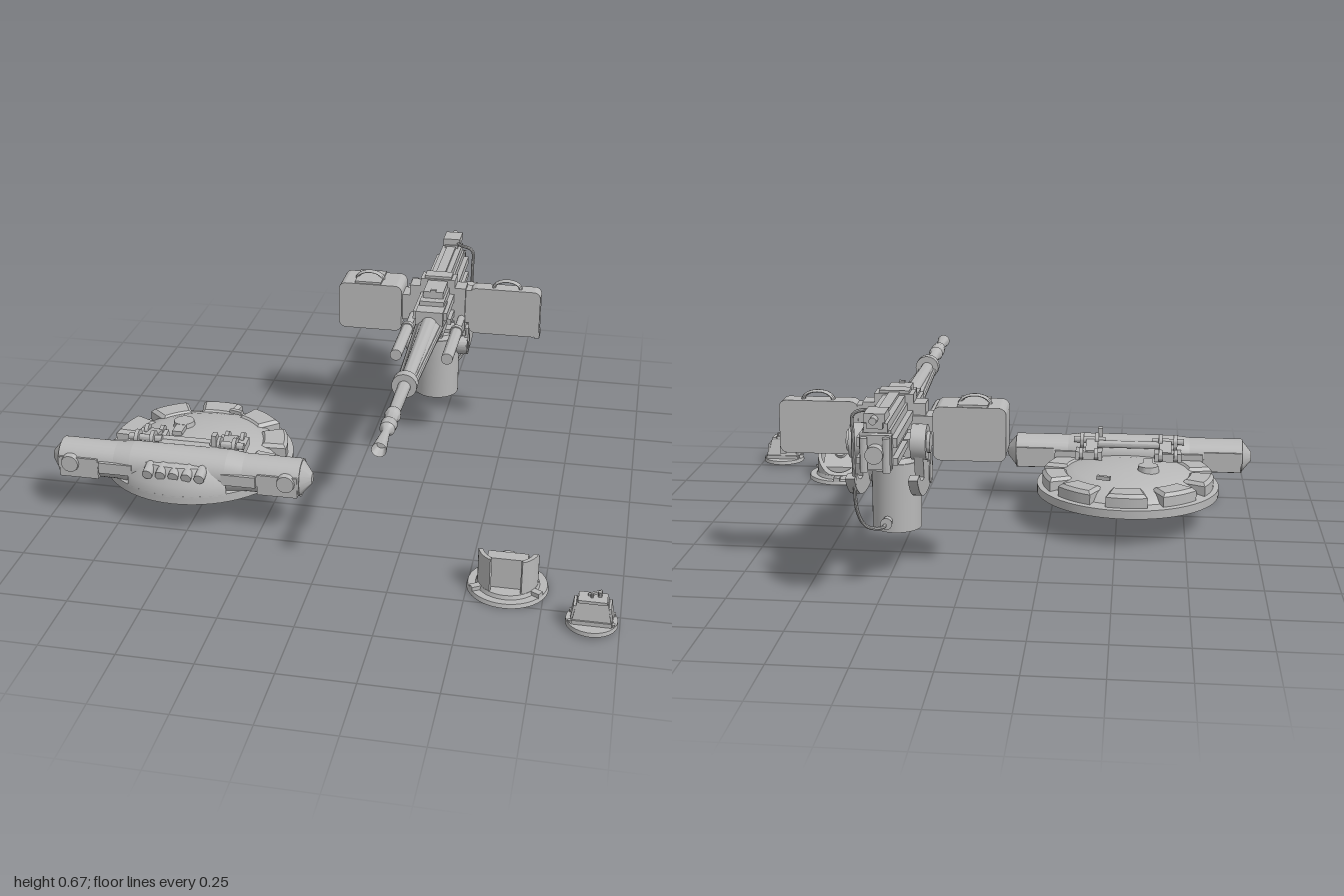
import * as THREE from 'three';
import { toCreasedNormals } from 'three/addons/utils/BufferGeometryUtils.js';

const grey = new THREE.MeshStandardMaterial({ color: 0xb8b8b8, side: THREE.DoubleSide });
grey.name = 'plain grey';

const V2 = (p) => p.map(([a, b]) => new THREE.Vector2(a, b));
const box = (w, h, d) => new THREE.BoxGeometry(w, h, d);
const cylY = (rt, rb, h, n = 32) => new THREE.CylinderGeometry(rt, rb, h, n);
const cylZ = (rf, rb, h, n = 24) => cylY(rf, rb, h, n).rotateX(Math.PI / 2);
const cylX = (r, h, n = 24) => cylY(r, r, h, n).rotateZ(-Math.PI / 2);
const lathe = (pts, n = 48, s = 0, l = Math.PI * 2) => new THREE.LatheGeometry(V2(pts), n, s, l);

function add(parent, name, geo, x = 0, y = 0, z = 0, rx = 0, ry = 0, rz = 0) {
  const m = new THREE.Mesh(toCreasedNormals(geo, 0.6), grey);
  m.name = name;
  m.position.set(x, y, z);
  m.rotation.set(rx, ry, rz);
  parent.add(m);
  return m;
}

function part(parent, name, x = 0, y = 0, z = 0) {
  const g = new THREE.Group();
  g.name = name;
  g.position.set(x, y, z);
  parent.add(g);
  return g;
}

// Side outline given as (z, y), with thickness along x
function sidePlate(shape, width) {
  return new THREE.ExtrudeGeometry(shape, { depth: width, bevelEnabled: false, curveSegments: 16 })
    .translate(0, 0, -width / 2).rotateY(-Math.PI / 2);
}

// Box with rounded corners when seen from the front
function roundedCase(w, h, d, r) {
  const s = new THREE.Shape(), a = w / 2, b = h / 2;
  s.absarc(a - r, b - r, r, 0, Math.PI / 2);
  s.absarc(-a + r, b - r, r, Math.PI / 2, Math.PI);
  s.absarc(-a + r, -b + r, r, Math.PI, Math.PI * 1.5);
  s.absarc(a - r, -b + r, r, Math.PI * 1.5, Math.PI * 2);
  return new THREE.ExtrudeGeometry(s, { depth: d, bevelEnabled: false, curveSegments: 6 }).translate(0, 0, -d / 2);
}

function buildHatch(root) {
  const g = part(root, 'hatch', -0.537, 0, 0.187);
  // Hollow domed lid with a thick rim
  add(g, 'hatchLid', lathe([[0, 0.205], [0.15, 0.2], [0.24, 0.175], [0.29, 0.13], [0.31, 0.115], [0.337, 0.115],
    [0.337, 0.146], [0.29, 0.152], [0.262, 0.178], [0.2, 0.2], [0.1, 0.216], [0, 0.22]], 64));
  // Notched blocks round the rim
  for (let i = -3; i <= 3; i++) {
    const a = Math.PI / 2 + i * 0.66, h = 0.2, s = new THREE.Shape();
    s.absarc(0, 0, 0.305, a - h, a + h, false);
    s.absarc(0, 0, 0.235, a + h, a - h, true);
    const geo = new THREE.ExtrudeGeometry(s, { depth: 0.045, bevelThickness: 0.012, bevelSize: 0.012, bevelSegments: 1, curveSegments: 6 });
    add(g, 'rimBlock', geo.rotateX(-Math.PI / 2), 0, 0.14, 0);
  }
  // Front bulge carrying the vents
  add(g, 'frontBulge', lathe([[0.337, 0.14], [0.335, 0.18], [0.3, 0.235], [0.23, 0.25]], 24, -0.55, 1.1));
  for (let i = -2; i <= 2; i++) {
    add(g, 'vent', cylZ(0.018, 0.018, 0.12, 16), i * 0.046, 0.226, 0.265, 0.25);
    add(g, 'innerVent', cylY(0.017, 0.017, 0.05, 16), i * 0.046, 0.15, 0.235, 0.4);
  }
  // Cross tube with pointed ends and a raised middle
  const t = part(g, 'crossTube', 0, 0.2, 0.215);
  add(t, 'tubeBody', cylX(0.066, 0.86, 32));
  add(t, 'tubeMiddle', cylX(0.073, 0.34, 32));
  for (const s of [-1, 1]) {
    add(t, 'tubeTaper', cylY(s > 0 ? 0.066 : 0.073, s > 0 ? 0.073 : 0.066, 0.06).rotateZ(-Math.PI / 2), s * 0.2, 0, 0);
    add(t, 'endCone', cylY(0.018, 0.063, 0.036, 12).rotateZ(-s * Math.PI / 2), s * 0.447, 0, 0);
    add(t, 'endBoss', cylZ(0.03, 0.034, 0.02), s * 0.385, 0.005, 0.066);
    add(t, 'endBlock', box(0.14, 0.075, 0.135), s * 0.355, -0.01, 0);
    add(t, 'sidePad', box(0.12, 0.04, 0.15), s * 0.22, 0, 0);
    // Hinge arm, knuckle and bolt
    const h = part(g, 'hinge', s * 0.148, 0, 0);
    add(h, 'hingeFoot', box(0.1, 0.03, 0.11), 0, 0.225, 0.1, 0.12);
    add(h, 'hingeArm', box(0.045, 0.035, 0.11), -s * 0.01, 0.245, 0.11, -0.2);
    for (const k of [-0.028, 0.028]) {
      add(h, 'hingeEar', cylX(0.03, 0.014), k, 0.262, 0.155);
      add(h, 'hingeLug', cylX(0.022, 0.014), k, 0.24, 0.05);
    }
    add(h, 'hingePin', cylX(0.012, 0.12, 12), 0, 0.265, 0.155);
  }
  add(g, 'hingeRod', cylX(0.014, 0.26, 16), 0, 0.255, 0.135);
  add(g, 'torsionBar', box(0.19, 0.025, 0.03), 0, 0.25, 0.165);
  add(g, 'lockPin', box(0.018, 0.06, 0.03), 0.108, 0.28, 0.17);
  add(g, 'lockPlate', box(0.03, 0.012, 0.07), 0.11, 0.262, 0.17);
  // Latch disc and small handle on the lid
  add(g, 'latchDisc', cylY(0.036, 0.04, 0.024), -0.075, 0.222, -0.06);
  add(g, 'latchTongue', box(0.036, 0.018, 0.08), -0.075, 0.224, -0.01);
  add(g, 'lidGrip', box(0.05, 0.014, 0.016), 0.085, 0.22, -0.19, 0, -0.3);
}

function buildGun(root) {
  const g = part(root, 'gun', 0.228, 0.54, 0);
  // Barrel with flared muzzle and joint rings
  add(g, 'barrel', lathe([[0, 0.75], [0.014, 0.75], [0.024, 0.79], [0.013, 0.67], [0.017, 0.655], [0.025, 0.645],
    [0.027, 0.61], [0.022, 0.6], [0.022, 0.56], [0.027, 0.55], [0.025, 0.53], [0.02, 0.52], [0.022, 0.3], [0.03, -0.3]], 24)
    .rotateX(Math.PI / 2));
  add(g, 'barrelRing', cylZ(0.043, 0.043, 0.035), 0, 0.002, 0.312);
  // Tapering jacket: flat on top, deepening to the rear
  const jacket = cylZ(0.024, 0.05, 0.58, 20).translate(0, 0, 0.01);
  add(g, 'barrelJacket', jacket, 0, -0.02, 0, -0.035);
  for (const s of [-1, 1]) {
    add(g, 'jacketRod', cylZ(0.01, 0.01, 0.58, 10), s * 0.035, -0.012, 0.01, 0, s * -0.035);
    add(g, 'recoilTube', cylZ(0.021, 0.021, 0.26), s * 0.092, -0.055, -0.17);
    add(g, 'recoilRod', cylZ(0.013, 0.013, 0.36, 16), s * 0.092, -0.055, -0.45);
    add(g, 'tubeCollar', cylZ(0.025, 0.025, 0.02), s * 0.092, -0.055, -0.29);
  }
  // Receiver, covers and rear plate
  add(g, 'receiver', box(0.09, 0.11, 0.56), 0, 0.01, -0.55);
  add(g, 'receiverFloor', box(0.075, 0.04, 0.34), 0, -0.05, -0.65);
  add(g, 'topCover', box(0.074, 0.03, 0.54), 0, 0.075, -0.575);
  add(g, 'coverRib', box(0.035, 0.014, 0.3), 0, 0.092, -0.62);
  add(g, 'frontBlock', box(0.1, 0.1, 0.12), 0, -0.002, -0.27);
  for (const s of [-1, 1]) {
    add(g, 'sideRail', box(0.02, 0.03, 0.6), s * 0.053, 0.025, -0.53);
    add(g, 'lowerRail', box(0.018, 0.022, 0.5), s * 0.056, -0.035, -0.58);
    add(g, 'rearGrip', cylY(0.012, 0.012, 0.11, 12), s * 0.035, -0.005, -0.865);
  }
  add(g, 'rearPlate', box(0.1, 0.11, 0.025), 0, 0, -0.842);
  add(g, 'rearBuffer', cylZ(0.028, 0.028, 0.05), 0, 0, -0.865);
  add(g, 'frontSight', box(0.02, 0.035, 0.015), 0, 0.08, -0.31);
  // Sight on the rear of the cover
  add(g, 'sightBase', box(0.05, 0.025, 0.09), 0, 0.09, -0.82);
  add(g, 'sightHead', box(0.065, 0.028, 0.085), 0, 0.112, -0.823);
  add(g, 'sightKnob', cylZ(0.012, 0.012, 0.04, 12), 0, 0.11, -0.878);
  // Feed collar around the receiver
  add(g, 'feedCollar', box(0.13, 0.16, 0.07), 0, 0.015, -0.455);
  add(g, 'collarTop', box(0.1, 0.025, 0.055), 0, 0.092, -0.455);
  for (const s of [-1, 1]) add(g, 'collarBracket', box(0.04, 0.17, 0.07), s * 0.085, -0.02, -0.455);
}

function buildMount(root) {
  const g = part(root, 'mount', 0.228, 0, 0);
  add(g, 'pedestal', cylY(0.083, 0.083, 0.235, 40), 0, 0.2875, -0.452);
  add(g, 'pedestalCap', cylY(0.072, 0.08, 0.02, 40), 0, 0.412, -0.452);
  add(g, 'crossPlate', box(0.22, 0.022, 0.07), 0, 0.425, -0.455);
  // Curved cradle plate: neck, rounded front and swept tail
  const s = new THREE.Shape();
  s.moveTo(-0.545, 0.48);
  s.lineTo(-0.535, 0.42);
  s.lineTo(-0.46, 0.405);
  s.quadraticCurveTo(-0.41, 0.4, -0.415, 0.365);
  s.quadraticCurveTo(-0.42, 0.33, -0.47, 0.325);
  s.quadraticCurveTo(-0.68, 0.305, -0.765, 0.425);
  s.lineTo(-0.71, 0.428);
  s.quadraticCurveTo(-0.68, 0.385, -0.61, 0.39);
  s.lineTo(-0.64, 0.48);
  for (const k of [-1, 1]) {
    add(g, 'cradlePlate', sidePlate(s, 0.03), k * 0.1, 0, 0);
    add(g, 'pivotDrum', cylX(0.058, 0.05, 32), k * 0.1, 0.505, -0.595);
    add(g, 'pivotCap', cylX(0.035, 0.012), k * 0.13, 0.505, -0.595);
    add(g, 'frontPivot', cylX(0.042, 0.04), k * 0.098, 0.368, -0.46);
    add(g, 'drumArm', box(0.05, 0.06, 0.09), k * 0.075, 0.49, -0.58);
    add(g, 'uprightBar', box(0.014, 0.1, 0.04), k * 0.112, 0.39, -0.455);
  }
  // Cable from the pedestal up to the sight
  const path = new THREE.CatmullRomCurve3([[0.02, 0.21, -0.53], [0.03, 0.205, -0.59], [0.07, 0.23, -0.65], [0.09, 0.3, -0.7],
    [0.09, 0.42, -0.735], [0.09, 0.56, -0.745], [0.085, 0.635, -0.755], [0.04, 0.65, -0.76], [0.02, 0.645, -0.8]]
    .map((p) => new THREE.Vector3(...p)));
  add(g, 'cable', new THREE.TubeGeometry(path, 60, 0.006, 8));
  add(g, 'cableSocket', cylZ(0.016, 0.02, 0.04, 16), 0.02, 0.21, -0.545);

  // Ammunition cases on both sides
  const cases = [['rightCase', -0.025, 0.24, 0.135, -0.4625, -0.037], ['leftCase', 0.48, 0.265, 0.06, -0.462, 0.485]];
  for (const [name, x, w, d, z, hx] of cases) {
    const c = part(root, name, x, 0.515, z);
    add(c, 'caseBody', roundedCase(w, 0.18, d, 0.025));
    add(c, 'carryHandle', new THREE.TorusGeometry(0.05, 0.007, 8, 20, Math.PI).scale(1, 0.6, 2), hx - x, 0.087, 0);
  }
  add(root, 'caseLid', box(0.1, 0.012, 0.125), -0.035, 0.607, -0.4625);
  add(root, 'rightFeedChute', box(0.09, 0.1, 0.08), 0.125, 0.515, -0.46);
  add(root, 'leftFeedChute', box(0.09, 0.13, 0.058), 0.33, 0.53, -0.462);
  add(root, 'caseLatch', box(0.02, 0.025, 0.05), 0.605, 0.432, -0.462);
}

function buildLargePeriscope(root) {
  const g = part(root, 'largePeriscope', 0.63, 0, 0.635);
  add(g, 'basePlate', cylY(0.13, 0.134, 0.014, 48), 0, 0.007, 0);
  add(g, 'baseRing', cylY(0.1, 0.105, 0.014, 48), 0, 0.02, 0);
  // Round guard, open in front and cut on a slant towards the back
  const guard = lathe([[0.085, 0], [0.099, 0], [0.099, 1], [0.085, 1], [0.085, 0]], 48, 0.62, Math.PI * 2 - 1.24);
  const p = guard.attributes.position;
  for (let i = 0; i < p.count; i++) {
    const h = THREE.MathUtils.clamp(0.145 + (p.getZ(i) - 0.02) * 1.02, 0.03, 0.145);
    p.setY(i, THREE.MathUtils.lerp(0.01, h, p.getY(i)));
  }
  add(g, 'guard', guard);
  for (const s of [-1, 1]) add(g, 'guardEdge', box(0.016, 0.132, 0.008), s * 0.056, 0.079, 0.074, 0, s * 0.62);
  const body = new THREE.Shape(V2([[0.055, 0.02], [0.055, 0.135], [0.01, 0.135], [-0.065, 0.055], [-0.065, 0.02]]));
  add(g, 'periscopeBody', sidePlate(body, 0.13));
  add(g, 'topCap', cylY(0.022, 0.026, 0.012), 0, 0.108, -0.022, -0.8);
  // Three clamps on the plate
  for (let i = 0; i < 3; i++) {
    const a = Math.PI + (i * Math.PI * 2) / 3;
    add(g, 'clamp', box(0.024, 0.016, 0.045), Math.sin(a) * 0.108, 0.02, Math.cos(a) * 0.108, 0, a);
  }
}

function buildSmallPeriscope(root) {
  const g = part(root, 'smallPeriscope', 0.912, 0, 0.808);
  add(g, 'basePlate', cylY(0.081, 0.083, 0.014, 40), 0, 0.017, 0);
  add(g, 'baseStep', box(0.125, 0.014, 0.085), 0, 0.031, 0);
  // Tapered housing
  const body = box(0.12, 0.062, 0.074), p = body.attributes.position;
  for (let i = 0; i < p.count; i++) {
    if (p.getY(i) > 0) p.setXYZ(i, p.getX(i) * 0.8, p.getY(i), p.getZ(i) * 0.62 + 0.006);
  }
  body.computeVertexNormals();
  add(g, 'housing', body, 0, 0.069, 0);
  add(g, 'brow', box(0.09, 0.01, 0.055), 0, 0.104, 0.008);
  add(g, 'stud', cylY(0.007, 0.007, 0.02, 10), 0.02, 0.116, 0);
  add(g, 'stud', cylY(0.005, 0.005, 0.016, 10), -0.004, 0.114, 0.01);
  add(g, 'lever', box(0.05, 0.008, 0.008), 0.005, 0.112, -0.012, 0, 0.6);
  for (const s of [-1, 1]) {
    add(g, 'sideCheek', box(0.008, 0.055, 0.06), s * 0.059, 0.058, 0, 0, 0, s * 0.15);
    for (const z of [-0.03, 0.03]) add(g, 'bolt', cylY(0.008, 0.008, 0.01, 10), s * 0.066, 0.028, z);
  }
}

export function createModel() {
  const root = new THREE.Group();
  root.name = 'turretFittings';
  buildHatch(root);
  buildGun(root);
  buildMount(root);
  buildLargePeriscope(root);
  buildSmallPeriscope(root);
  return root;
}
